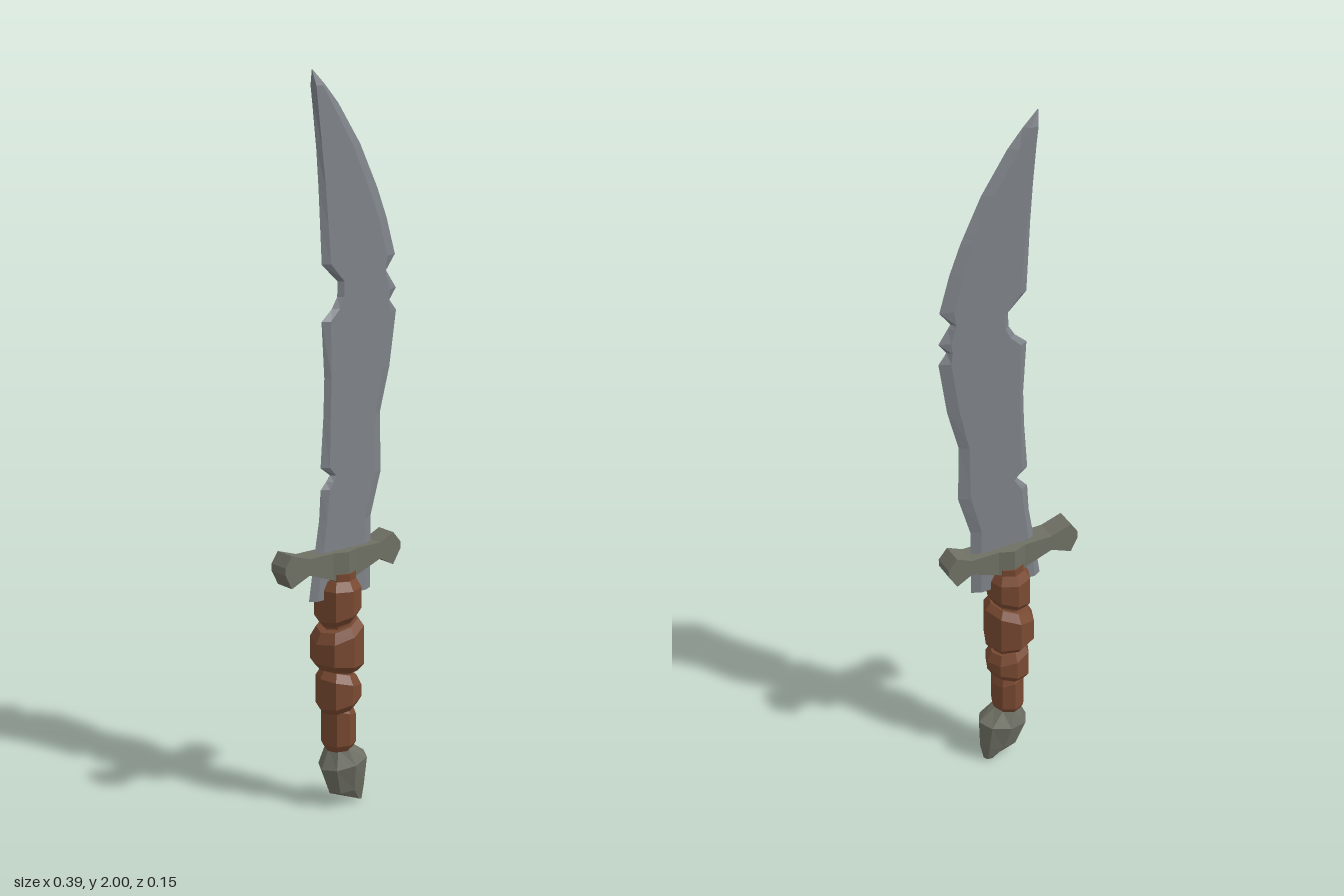
import * as THREE from 'three';

const steel = new THREE.MeshStandardMaterial({ color: 0x7f848a, flatShading: true });
const iron = new THREE.MeshStandardMaterial({ color: 0x6f7064, flatShading: true });
const leather = new THREE.MeshStandardMaterial({ color: 0x7a4a32, flatShading: true });

// Skins a stack of rings (bottom to top) and closes both ends.
function loft(rings) {
  const pos = [];
  const n = rings[0].length;
  const tri = (...pts) => pts.forEach((p) => pos.push(...p));
  const centre = (ring) => [0, 1, 2].map((k) => ring.reduce((s, p) => s + p[k], 0) / n);
  const low = rings[0], high = rings[rings.length - 1];
  const cLow = centre(low), cHigh = centre(high);
  for (let j = 0; j < n; j++) {
    const k = (j + 1) % n;
    for (let i = 0; i < rings.length - 1; i++) {
      const a = rings[i], b = rings[i + 1];
      tri(a[j], b[j], b[k]);
      tri(a[j], b[k], a[k]);
    }
    tri(cLow, low[j], low[k]);
    tri(cHigh, high[k], high[j]);
  }
  const geometry = new THREE.BufferGeometry();
  geometry.setAttribute('position', new THREE.Float32BufferAttribute(pos, 3));
  geometry.computeVertexNormals();
  return geometry;
}

// Eight-sided ring, tilted so that it climbs towards +x by the given slope.
function octagon([y, cx, rx, rz, slope = 0]) {
  return Array.from({ length: 8 }, (_, j) => {
    const a = (j * Math.PI) / 4;
    const dx = Math.cos(a) * rx;
    return [cx + dx, y + dx * slope, Math.sin(a) * rz];
  });
}

function add(group, name, geometry, material) {
  const mesh = new THREE.Mesh(geometry, material);
  mesh.name = name;
  group.add(mesh);
  return mesh;
}

// Linear interpolation in a list of [y, x, bevel] points.
function edgeAt(edge, y) {
  let i = 0;
  while (i < edge.length - 2 && y > edge[i + 1][0]) i++;
  const [a, b] = [edge[i], edge[i + 1]];
  const t = (y - a[0]) / (b[0] - a[0]);
  return [a[1] + (b[1] - a[1]) * t, a[2] + (b[2] - a[2]) * t];
}

function bladeGeometry() {
  // Spine and cutting edge: height, x, bevel width
  const spine = [
    [0.6, -0.1, 0.02], [0.73, -0.08, 0.02], [0.82, -0.065, 0.018], [0.9, -0.06, 0.022],
    [0.935, -0.028, 0.012], [0.96, -0.06, 0.022], [1.1, -0.05, 0.015], [1.2, -0.047, 0.015],
    [1.35, -0.056, 0.022], [1.38, -0.022, 0.018], [1.41, -0.004, 0.014], [1.45, -0.003, 0.014],
    [1.5, -0.055, 0.022], [1.7, -0.065, 0.015], [2.0, -0.086, 0.001],
  ];
  const edge = [
    [0.6, 0.11, 0.025], [0.8, 0.11, 0.028], [0.92, 0.145, 0.032], [1.08, 0.141, 0.025],
    [1.2, 0.173, 0.03], [1.35, 0.195, 0.03], [1.38, 0.172, 0.012], [1.41, 0.194, 0.03],
    [1.46, 0.16, 0.012], [1.5, 0.19, 0.035], [1.6, 0.161, 0.035], [1.68, 0.13, 0.035],
    [1.8, 0.072, 0.033], [1.91, 0.0, 0.028], [1.96, -0.043, 0.016], [2.0, -0.083, 0.001],
  ];
  const heights = [...new Set([...spine, ...edge].map((p) => p[0]))].sort((a, b) => a - b);
  return loft(heights.map((y) => {
    const [l, bl] = edgeAt(spine, y);
    const [r, br] = edgeAt(edge, y);
    const t = y > 1.99 ? 0.001 : 0.012;
    return [[r, y, 0], [r - br, y, t], [l + bl, y, t], [l, y, 0], [l + bl, y, -t], [r - br, y, -t]];
  }));
}

function guardGeometry() {
  // Sections from -x to +x: x, bottom, top, half depth
  const sections = [
    [-0.2, 0.7, 0.72, 0.03], [-0.18, 0.66, 0.75, 0.03], [-0.12, 0.685, 0.73, 0.03],
    [-0.04, 0.655, 0.73, 0.03], [0, 0.645, 0.73, 0.045], [0.04, 0.655, 0.73, 0.03],
    [0.12, 0.685, 0.73, 0.03], [0.165, 0.66, 0.75, 0.03], [0.19, 0.7, 0.72, 0.03],
  ];
  return loft(sections.map(([x, b, t, d]) => [[x, b, d], [x, b, -d], [x, t, -d], [x, t, d]].reverse()));
}

export function createModel() {
  const sword = new THREE.Group();
  sword.name = 'sword';

  add(sword, 'blade', bladeGeometry(), steel);
  add(sword, 'crossguard', guardGeometry(), iron);

  // Inner core of the grip
  add(sword, 'gripCore', loft([[0.15, 0, 0.036, 0.038], [0.67, 0, 0.045, 0.05]].map(octagon)), leather);

  // Bulging wraps: bottom and top heights, centre x, radii, slopes of the two rims
  const wraps = [
    [0.165, 0.3, 0, 0.046, 0.05, 0.05, -0.3],
    [0.285, 0.385, 0, 0.062, 0.063, 0.25, -0.25],
    [0.395, 0.525, -0.005, 0.071, 0.075, -0.1, 0.35],
    [0.535, 0.65, -0.002, 0.062, 0.066, 0.3, 0],
  ];
  wraps.forEach(([y0, y1, cx, rx, rz, s0, s1], i) => {
    const rings = [
      [y0, cx, rx * 0.78, rz * 0.78, s0],
      [y0 + 0.02, cx, rx, rz, s0],
      [y1 - 0.025, cx, rx, rz, s1],
      [y1, cx, rx * 0.78, rz * 0.78, s1],
    ];
    add(sword, `gripWrap${i + 1}`, loft(rings.map(octagon)), leather);
  });

  // Pommel, leaning towards +x at its foot
  const pommel = [
    [0.007, 0.057, 0.018, 0.02, -0.35],
    [0.045, 0.028, 0.058, 0.036, 0.1],
    [0.125, 0.015, 0.074, 0.057, 0.15],
    [0.172, 0.003, 0.036, 0.04, 0],
  ];
  add(sword, 'pommel', loft(pommel.map(octagon)), iron);

  return sword;
}
